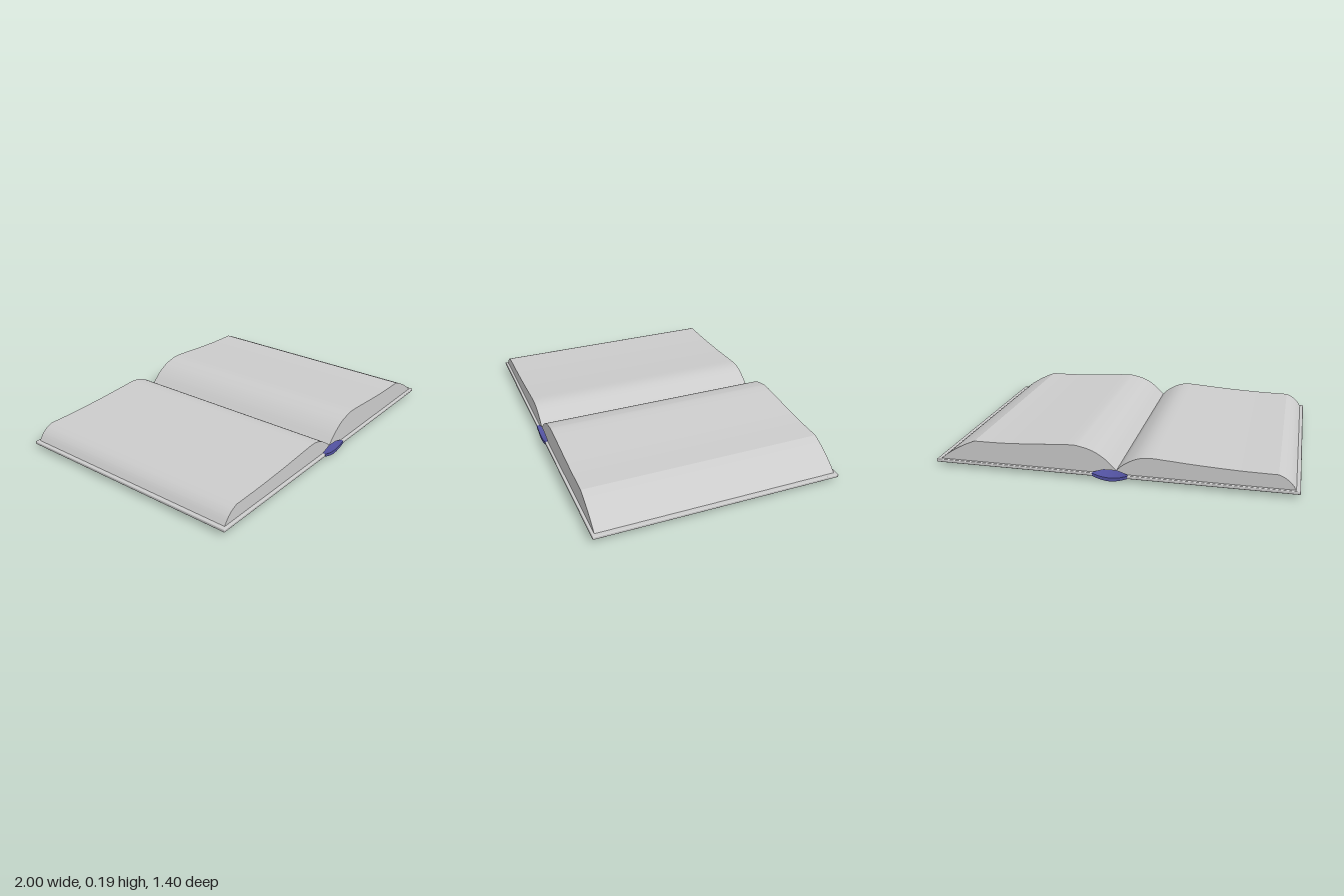
import * as THREE from 'three';
import { toCreasedNormals } from 'three/addons/utils/BufferGeometryUtils.js';
import { RoundedBoxGeometry } from 'three/addons/geometries/RoundedBoxGeometry.js';

const vectors = (list) => list.map(([x, y]) => new THREE.Vector2(x, y));

// Straight extrusion along z, centred, smooth except at real edges
function extrude(name, shape, depth, material) {
  const geometry = new THREE.ExtrudeGeometry(shape, { depth, bevelEnabled: false, curveSegments: 6 });
  geometry.translate(0, 0, -depth / 2);
  const mesh = new THREE.Mesh(toCreasedNormals(geometry, 0.3), material);
  mesh.name = name;
  return mesh;
}

export function createModel() {
  const book = new THREE.Group();
  book.name = 'openBook';
  const grey = new THREE.MeshStandardMaterial({ color: 0xcccccc });
  const blue = new THREE.MeshStandardMaterial({ color: 0x5252a0 });
  const boardTop = 0.041;
  const valley = [-0.035, 0.061];

  // Cover boards on either side of the spine
  for (const side of [1, -1]) {
    const board = new THREE.Mesh(new RoundedBoxGeometry(0.905, 0.018, 1.4, 2, 0.005), grey);
    board.position.set(side * 0.5475, boardTop - 0.009, 0);
    board.name = side > 0 ? 'leftCover' : 'rightCover';
    book.add(board);
  }

  // Thin curved spine strip, bowed downwards
  const spine = new THREE.Shape();
  spine.moveTo(-0.097, 0.024);
  spine.splineThru(vectors([[-0.05, 0.008], [0, 0.001], [0.05, 0.008], [0.097, 0.024]]));
  spine.lineTo(0.097, 0.04);
  spine.splineThru(vectors([[0.05, 0.026], [0, 0.021], [-0.05, 0.026], [-0.097, 0.04]]));
  spine.closePath();
  book.add(extrude('spine', spine, 1.4, blue));

  // Thicker page block: domed top, crease, then sloping fore edge;
  // its underside lifts off the spine near the valley
  const thick = new THREE.Shape();
  thick.moveTo(...valley);
  thick.lineTo(0.035, 0.059);
  thick.lineTo(0.095, boardTop);
  thick.lineTo(0.98, boardTop - 0.003);
  thick.splineThru(vectors([[0.92, 0.084], [0.84, 0.13], [0.77, 0.161]]));
  thick.splineThru(vectors([[0.6, 0.163], [0.435, 0.172], [0.23, 0.186],
    [0.16, 0.18], [0.09, 0.159], [0.025, 0.118], valley]));
  book.add(extrude('leftPages', thick, 1.368, grey));

  // Thinner page block with a rounded fore edge
  const thin = new THREE.Shape();
  thin.moveTo(...valley);
  thin.splineThru(vectors([[-0.07, 0.094], [-0.136, 0.132], [-0.205, 0.147], [-0.31, 0.142],
    [-0.47, 0.131], [-0.69, 0.121], [-0.885, 0.118]]));
  thin.splineThru(vectors([[-0.92, 0.102], [-0.952, 0.076], [-0.98, boardTop - 0.003]]));
  thin.lineTo(-0.095, boardTop);
  thin.closePath();
  book.add(extrude('rightPages', thin, 1.368, grey));

  return book;
}
